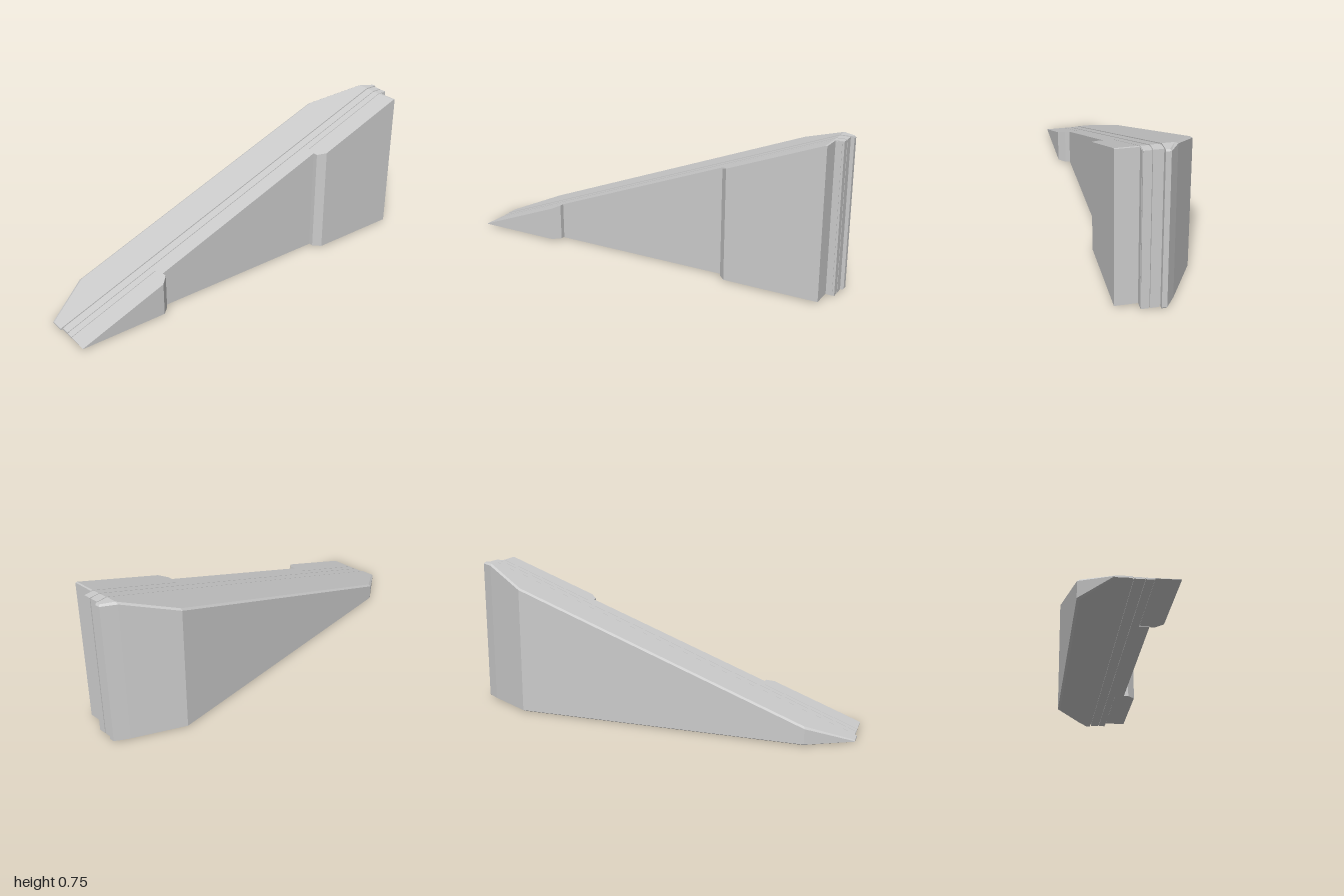
import * as THREE from 'three';

const CREST = 0.935; // where the slope levels out
const slope = (x) => 0.008 + 0.381 * (Math.min(x, CREST) + 1);

const material = new THREE.MeshStandardMaterial({ color: 0xcccccc, flatShading: true });

// Closed solid through rings of equal length; each ring is convex and runs
// clockwise from above. Caps fan from the first point, so a plan that crosses
// the crest starts there.
function loft(name, rings) {
  const pos = [];
  const tri = (a, b, c) => pos.push(...a, ...b, ...c);
  const n = rings[0].length;
  for (let r = 0; r < rings.length - 1; r++) {
    const lo = rings[r], hi = rings[r + 1];
    for (let i = 0; i < n; i++) {
      const j = (i + 1) % n;
      tri(lo[i], hi[i], lo[j]);
      tri(hi[i], hi[j], lo[j]);
    }
  }
  const bottom = rings[0], top = rings[rings.length - 1];
  for (let i = 1; i < n - 1; i++) {
    tri(bottom[0], bottom[i], bottom[i + 1]);
    tri(top[0], top[i + 1], top[i]);
  }
  const g = new THREE.BufferGeometry();
  g.setAttribute('position', new THREE.Float32BufferAttribute(pos, 3));
  g.computeVertexNormals();
  const mesh = new THREE.Mesh(g, material);
  mesh.name = name;
  return mesh;
}

// Lifts a plan of [x, z] points to a height given by a rule of x
const ring = (plan, y) => plan.map(([x, z]) => [x, y(x), z]);

// Upright slab with a sloping top
const slab = (name, plan, base, drop = 0) =>
  loft(name, [ring(plan, () => base), ring(plan, (x) => slope(x) - drop)]);

// Rectangular plan crossing the crest
const strip = (x0, x1, z0, z1) =>
  [[CREST, z0], [x1, z0], [x1, z1], [CREST, z1], [x0, z1], [x0, z0]];

export function createModel() {
  const group = new THREE.Group();
  group.name = 'wedgePanel';

  // Rear body with chamfered upper and lower back edges
  const outer = [[CREST, -0.065], [1, -0.02], [1, 0.004], [CREST, 0.004],
    [-1, 0.004], [-1, -0.07], [-0.78, -0.2], [0.7, -0.2]];
  const inner = [[CREST, -0.05], [0.995, -0.014], [0.995, 0.004], [CREST, 0.004],
    [-1, 0.004], [-1, -0.061], [-0.776, -0.188], [0.697, -0.188]];
  const bevel = (x) => Math.min(0.008, slope(x) * 0.4);
  group.add(loft('rearBody', [
    ring(inner, () => 0),
    ring(outer, (x) => bevel(x) * 0.8),
    ring(outer, (x) => slope(x) - bevel(x)),
    ring(inner, slope),
  ]));

  // Core seen at the bottom of the narrow grooves
  group.add(slab('core', strip(-0.98, 0.975, -0.02, 0.094), 0.006, 0.006));

  // Two layered strips
  group.add(slab('innerStrip', strip(-0.99, 0.985, 0.01, 0.052), 0.002, 0.002));
  group.add(slab('outerStrip', strip(-0.99, 0.985, 0.057, 0.092), 0.002, 0.003));

  // Recessed middle of the front
  group.add(slab('frontRecess',
    [[-0.52, 0.14], [-0.52, 0.092], [0.445, 0.092], [0.445, 0.14]], 0.004, 0.003));

  // Raised front panels with bevelled inner corners
  group.add(slab('frontPanelRight',
    [[-0.99, 0.2], [-0.99, 0.095], [-0.508, 0.095], [-0.508, 0.165], [-0.545, 0.2]], 0.007, 0.003));
  group.add(slab('frontPanelLeft',
    [[CREST, 0.095], [0.945, 0.095], [0.945, 0.2], [CREST, 0.2],
      [0.47, 0.2], [0.435, 0.165], [0.435, 0.095]], 0.007, 0.003));

  return group;
}
